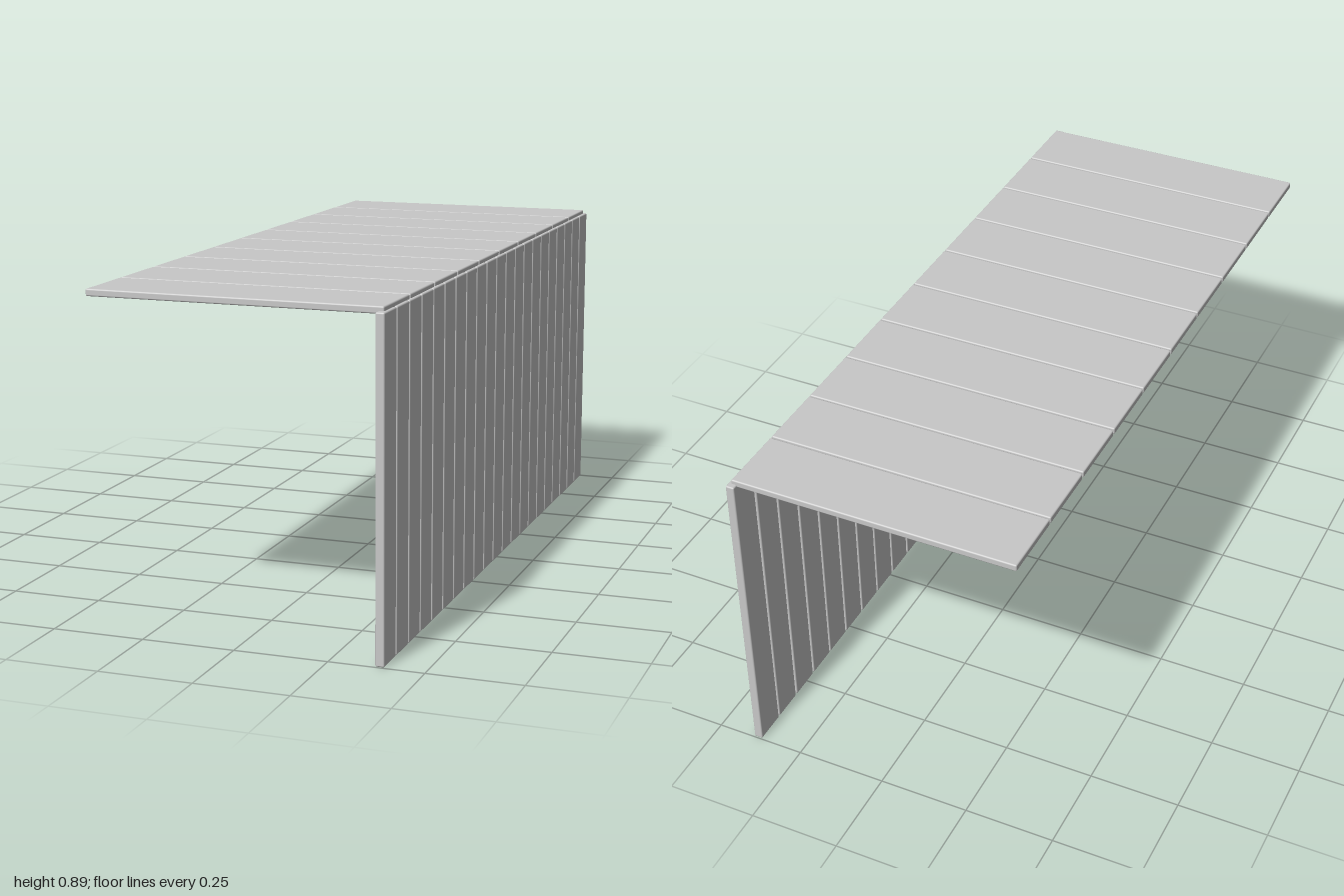
import * as THREE from 'three';
import { RoundedBoxGeometry } from 'three/addons/geometries/RoundedBoxGeometry.js';

export function createModel() {
  const model = new THREE.Group();
  model.name = 'plankCorner';
  const greyWood = new THREE.MeshStandardMaterial({ color: 0xc8c8c8 });
  greyWood.name = 'greyWood';

  // small repeatable variation, -1 to 1
  let seed = 7;
  const vary = () => {
    seed = (seed * 16807) % 2147483647;
    return (seed / 2147483647) * 2 - 1;
  };

  // a row of boards side by side along z, with softened edges
  function boardRow(name, count, zMin, zMax, gap, sizeX, sizeY, x, y, tiltAxis) {
    const row = new THREE.Group();
    row.name = name;
    const pitch = (zMax - zMin) / count;
    const geometry = new RoundedBoxGeometry(sizeX, sizeY, pitch - gap, 2, 0.004);
    for (let i = 0; i < count; i++) {
      const board = new THREE.Mesh(geometry, greyWood);
      board.name = name + 'Board' + (i + 1);
      board.position.set(x, y, zMin + pitch * (i + 0.5));
      board.rotation[tiltAxis] = vary() * 0.0015;
      row.add(board);
    }
    model.add(row);
  }

  // upright boards
  boardRow('wall', 21, -1, 1, 0.005, 0.024, 0.874, 0.383, 0.437, 'x');
  // level boards resting on the top of the wall
  boardRow('deck', 10, -0.985, 0.98, 0.005, 0.782, 0.019, -0.004, 0.876, 'y');

  return model;
}
